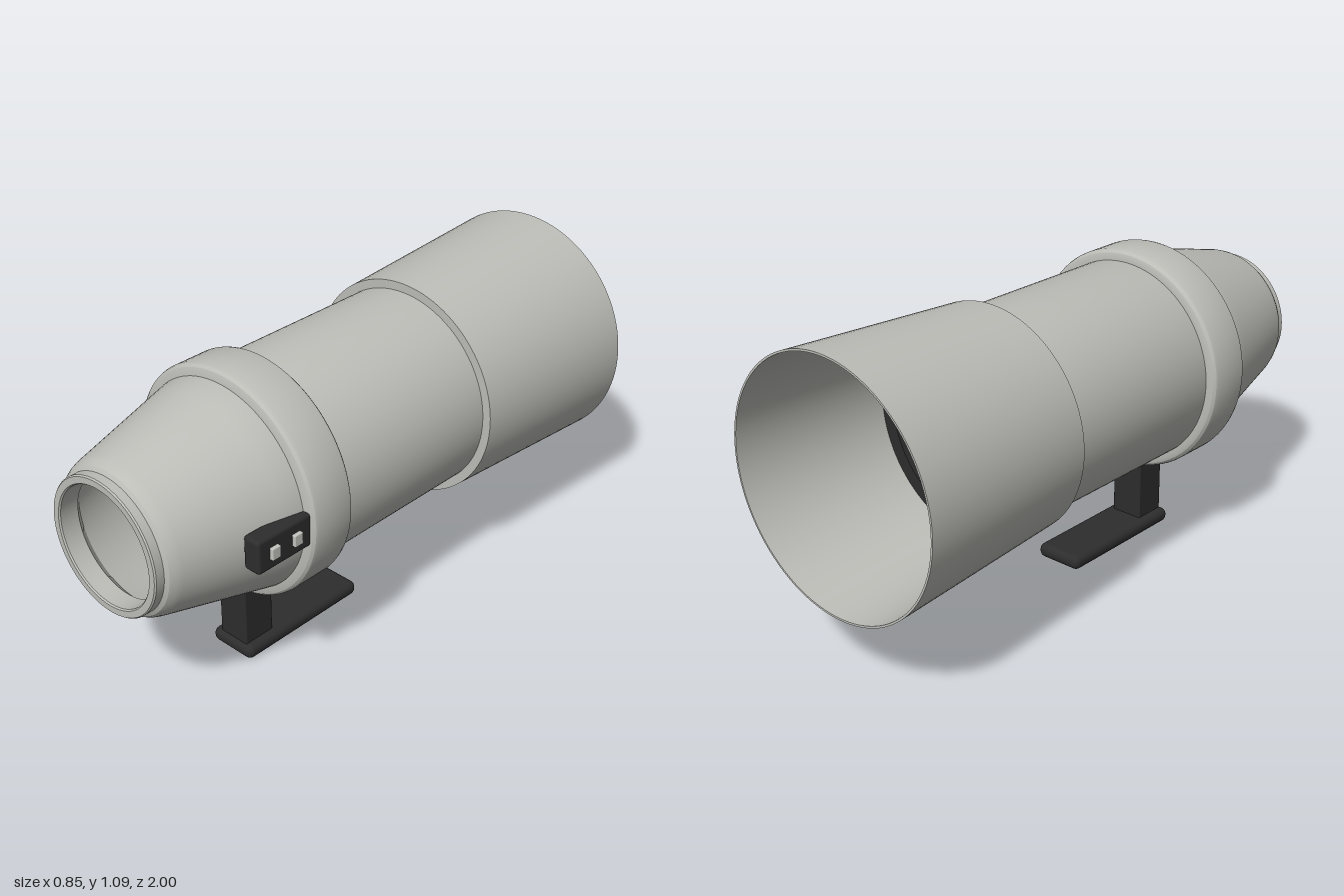
import * as THREE from 'three';
import { toCreasedNormals } from 'three/addons/utils/BufferGeometryUtils.js';
import { RoundedBoxGeometry } from 'three/addons/geometries/RoundedBoxGeometry.js';

const AXIS_Y = 0.664;

function flat(name, color) {
  const m = new THREE.MeshStandardMaterial({ color });
  m.name = name;
  return m;
}

export function createModel() {
  const group = new THREE.Group();
  const grey = flat('barrel grey', 0xbdbdb8);
  const dark = flat('dark rubber', 0x2d2d2d);
  const light = flat('switch grey', 0xc4c4c0);

  // Closed ring turned about the optical axis; profile is [z, radius],
  // outer wall first from back to front, then the inner wall back again.
  function turned(name, profile, material) {
    const pts = [...profile, profile[0]].map(([z, r]) => new THREE.Vector2(r, z));
    const geo = new THREE.LatheGeometry(pts, 96).rotateX(Math.PI / 2);
    const mesh = new THREE.Mesh(toCreasedNormals(geo, 0.42), material);
    mesh.name = name;
    mesh.position.y = AXIS_Y;
    group.add(mesh);
  }

  // Rounded box given by its low and high corners
  function block(name, lo, hi, radius, material) {
    const [w, h, d] = hi.map((v, i) => v - lo[i]);
    const mesh = new THREE.Mesh(new RoundedBoxGeometry(w, h, d, 4, radius), material);
    mesh.name = name;
    mesh.position.set(...hi.map((v, i) => (v + lo[i]) / 2));
    group.add(mesh);
  }

  // Main barrel, tapering to the narrow mount end
  turned('barrel', [
    [-0.4, 0.356], [0.53, 0.356], [0.6, 0.339], [0.92, 0.261], [0.94, 0.254],
    [0.958, 0.243], [0.966, 0.23], [0.995, 0.23], [1, 0.226],
    [1, 0.204], [0.995, 0.2], [0.93, 0.2], [0.9, 0.235], [0.53, 0.338], [-0.4, 0.338],
  ], grey);

  // Flared hood, open at the back
  turned('hood', [
    [-1, 0.425], [-0.318, 0.387], [-0.318, 0.35], [-0.33, 0.35], [-0.33, 0.38], [-1, 0.418],
  ], grey);

  // Tripod collar with rounded shoulders
  turned('collar', [
    [0.348, 0.35], [0.348, 0.37], [0.352, 0.382], [0.36, 0.39], [0.37, 0.393],
    [0.5, 0.393], [0.511, 0.39], [0.519, 0.382], [0.526, 0.36], [0.526, 0.35],
  ], grey);

  // Dark ring inside the hood
  turned('innerRing', [
    [-0.43, 0.384], [-0.39, 0.384], [-0.39, 0.336], [-0.43, 0.336],
  ], dark);

  // Tripod foot
  block('footPost', [-0.06, 0.02, 0.385], [0.06, 0.3, 0.505], 0.005, dark);
  block('footPlate', [-0.09, 0, 0], [0.09, 0.052, 0.52], 0.024, dark);

  // Switch panel on the left side of the taper
  block('switchPanel', [0.311, 0.605, 0.515], [0.375, 0.722, 0.735], 0.012, dark);
  for (const z of [0.58, 0.672]) {
    block('switch', [0.36, 0.643, z - 0.017], [0.388, 0.684, z + 0.017], 0.003, light);
  }

  return group;
}
